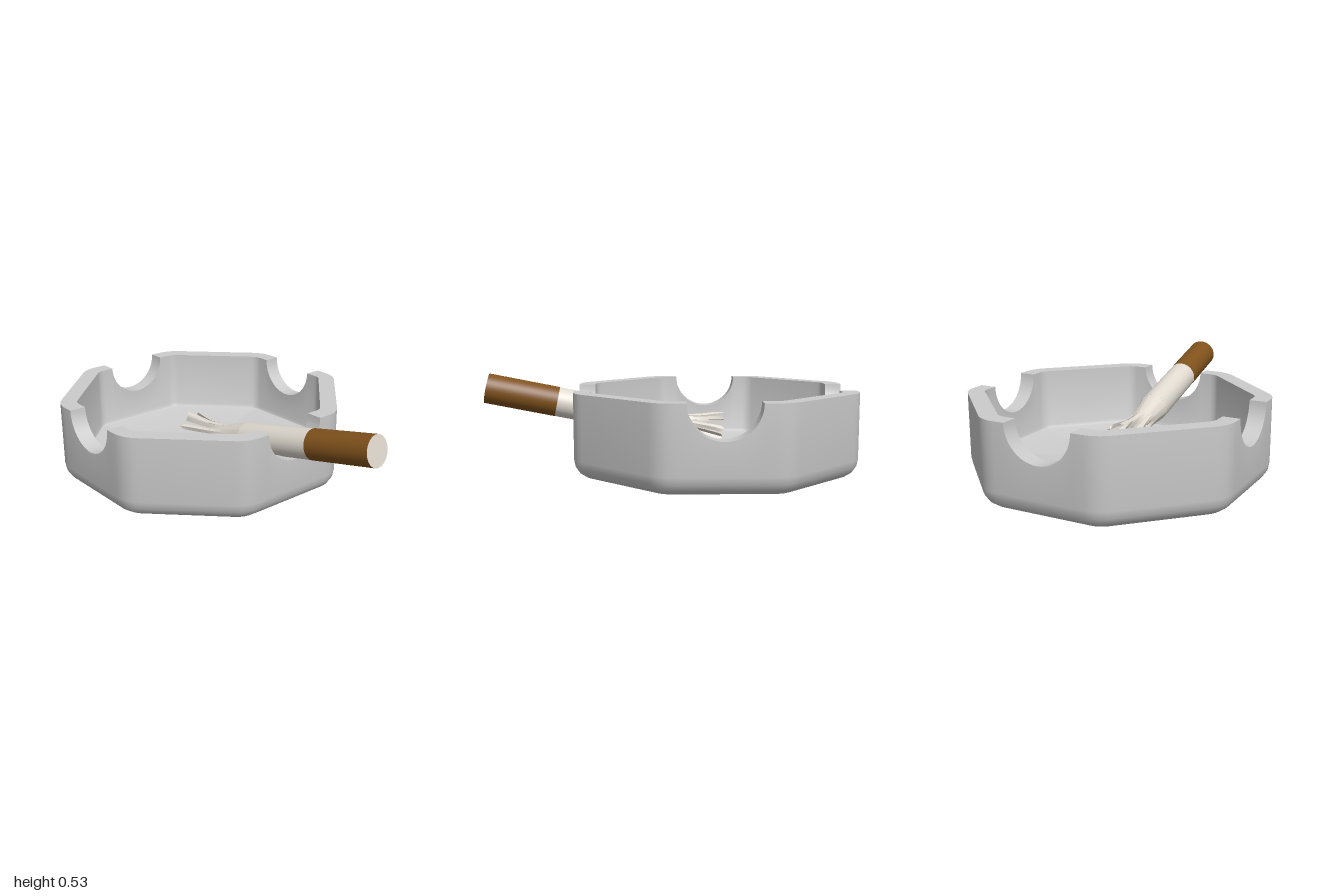
import * as THREE from 'three';
import { toCreasedNormals } from 'three/addons/utils/BufferGeometryUtils.js';

const EIGHTH = Math.PI / 4;
const CORE = 0.58;      // apothem of the octagon through the corner-arc centres
const NOTCH = 0.18;     // radius of the rim notches
const HEIGHT = 0.45;

// Rounded octagon outline: [x, z, notch depth] for a given apothem
function outline(apothem) {
  const pts = [];
  const radius = apothem - CORE;
  for (let k = 0; k < 8; k++) {
    const a = k * EIGHTH;
    if (k % 2 === 0) {
      for (let i = 0; i <= 24; i++) {
        const p = (i / 24) * Math.PI;
        const t = -NOTCH * Math.cos(p);
        pts.push([
          apothem * Math.cos(a) - t * Math.sin(a),
          apothem * Math.sin(a) + t * Math.cos(a),
          NOTCH * Math.sin(p),
        ]);
      }
    }
    const v = a + EIGHTH / 2;
    const d = CORE / Math.cos(EIGHTH / 2);
    for (let i = 0; i <= 5; i++) {
      const n = a + (i / 5) * EIGHTH;
      pts.push([d * Math.cos(v) + radius * Math.cos(n), d * Math.sin(v) + radius * Math.sin(n), 0]);
    }
  }
  return pts;
}

// Tray shell lofted from underside, up the wall, over the rim and down to the floor
function trayGeometry() {
  const rings = [];
  const addRing = (apothem, y, notched = false) =>
    rings.push(outline(apothem).map(([x, z, cut]) => [x, notched ? y - cut : y, z]));
  for (let i = 0; i <= 4; i++) {
    const a = (i / 4) * Math.PI / 2;
    addRing(0.65 + 0.1 * Math.sin(a), 0.1 - 0.1 * Math.cos(a));
  }
  addRing(0.75, HEIGHT, true);
  addRing(0.66, HEIGHT, true);
  addRing(0.66, 0.125);
  addRing(0.653, 0.107);
  addRing(0.635, 0.1);

  const n = rings[0].length;
  const pos = rings.flat(2);
  const idx = [];
  for (let r = 0; r < rings.length - 1; r++) {
    for (let j = 0; j < n; j++) {
      const a = r * n + j, b = r * n + (j + 1) % n;
      idx.push(a, a + n, b, b, a + n, b + n);
    }
  }
  // Underside and floor fans
  const under = pos.length / 3, floor = under + 1, last = (rings.length - 1) * n;
  pos.push(0, 0, 0, 0, 0.1, 0);
  for (let j = 0; j < n; j++) {
    const k = (j + 1) % n;
    idx.push(under, j, k, floor, last + k, last + j);
  }
  const g = new THREE.BufferGeometry();
  g.setAttribute('position', new THREE.Float32BufferAttribute(pos, 3));
  g.setIndex(idx);
  return toCreasedNormals(g, 0.6);
}

function seeded(seed) {
  return () => {
    seed = (seed * 16807) % 2147483647;
    return seed / 2147483647;
  };
}

// One folded strip of torn paper; together the strips close up into the tube
function stripGeometry(k, count, length, rand) {
  const mid = (k / count) * Math.PI * 2;
  const half = Math.PI / count;
  const split = 0.4 + 0.2 * rand();
  const reach = 0.86 + 0.14 * rand();
  const flare = 0.025 + 0.03 * rand();
  const fold = (k % 2 ? -1 : 0.5) * (0.015 + 0.015 * rand());
  const twist = 0.5 * (rand() - 0.5);
  const steps = 10;
  const pos = [], idx = [];
  for (let i = 0; i <= steps; i++) {
    const s = (i / steps) * reach;
    const open = Math.max(0, (s - split) / (1 - split));
    const pinch = 0.02 * Math.sin(Math.PI * Math.min(1, s / 0.9));
    const radius = 0.08 - pinch + flare * open * open;
    const width = half * (1 - 0.5 * open);
    for (let e = -1; e <= 1; e++) {
      const a = mid + e * width + twist * open;
      const r = radius + (e === 0 ? fold * THREE.MathUtils.smoothstep(s, 0.2, 0.8) : 0);
      // The middle of each end runs out to a ragged point
      const x = length * (1 - s) - (e === 0 && i === steps ? 0.02 : 0);
      pos.push(x, r * Math.cos(a), r * Math.sin(a));
    }
  }
  for (let i = 0; i < steps; i++) {
    for (let e = 0; e < 2; e++) {
      const a = i * 3 + e;
      idx.push(a, a + 1, a + 3, a + 1, a + 4, a + 3);
    }
  }
  const g = new THREE.BufferGeometry();
  g.setAttribute('position', new THREE.Float32BufferAttribute(pos, 3));
  g.setIndex(idx);
  return toCreasedNormals(g, 0.5);
}

export function createModel() {
  const model = new THREE.Group();
  model.name = 'ashtrayWithCigarette';
  const grey = new THREE.MeshStandardMaterial({ color: 0xcccccc });
  const paper = new THREE.MeshStandardMaterial({ color: 0xe0dad0 });
  const tornPaper = new THREE.MeshStandardMaterial({ color: 0xe0dad0, side: THREE.DoubleSide });
  const brown = new THREE.MeshStandardMaterial({ color: 0x80521c });

  const add = (parent, name, geometry, material) => {
    const mesh = new THREE.Mesh(geometry, material);
    mesh.name = name;
    parent.add(mesh);
    return mesh;
  };

  add(model, 'tray', trayGeometry(), grey).position.x = -0.25;

  // Cigarette lies along its own +x, from the stubbed tip to the filter
  const tip = new THREE.Vector3(-0.3, 0.19, 0.043);
  const end = new THREE.Vector3(0.981, 0.455, -0.06);
  const axis = end.clone().sub(tip);
  const total = axis.length();
  const cigarette = new THREE.Group();
  cigarette.name = 'cigarette';
  cigarette.position.copy(tip);
  cigarette.quaternion.setFromUnitVectors(new THREE.Vector3(1, 0, 0), axis.normalize());
  model.add(cigarette);

  const rod = (name, x0, x1, radius, material) => {
    const g = new THREE.CylinderGeometry(radius, radius, x1 - x0, 40, 1, true);
    g.rotateZ(-Math.PI / 2).translate((x0 + x1) / 2, 0, 0);
    add(cigarette, name, g, material);
  };
  const tornLength = 0.46, filterStart = total - 0.385;
  rod('paperTube', tornLength, filterStart, 0.08, paper);
  rod('filter', filterStart, total, 0.081, brown);
  const cap = new THREE.CircleGeometry(0.081, 40).rotateY(Math.PI / 2).translate(total, 0, 0);
  add(cigarette, 'filterEnd', cap, paper);

  // Crushed, frayed tip
  const frayedTip = new THREE.Group();
  frayedTip.name = 'frayedTip';
  cigarette.add(frayedTip);
  const rand = seeded(4217);
  const count = 12;
  for (let k = 0; k < count; k++) {
    add(frayedTip, 'tornStrip', stripGeometry(k, count, tornLength, rand), tornPaper);
  }
  return model;
}
